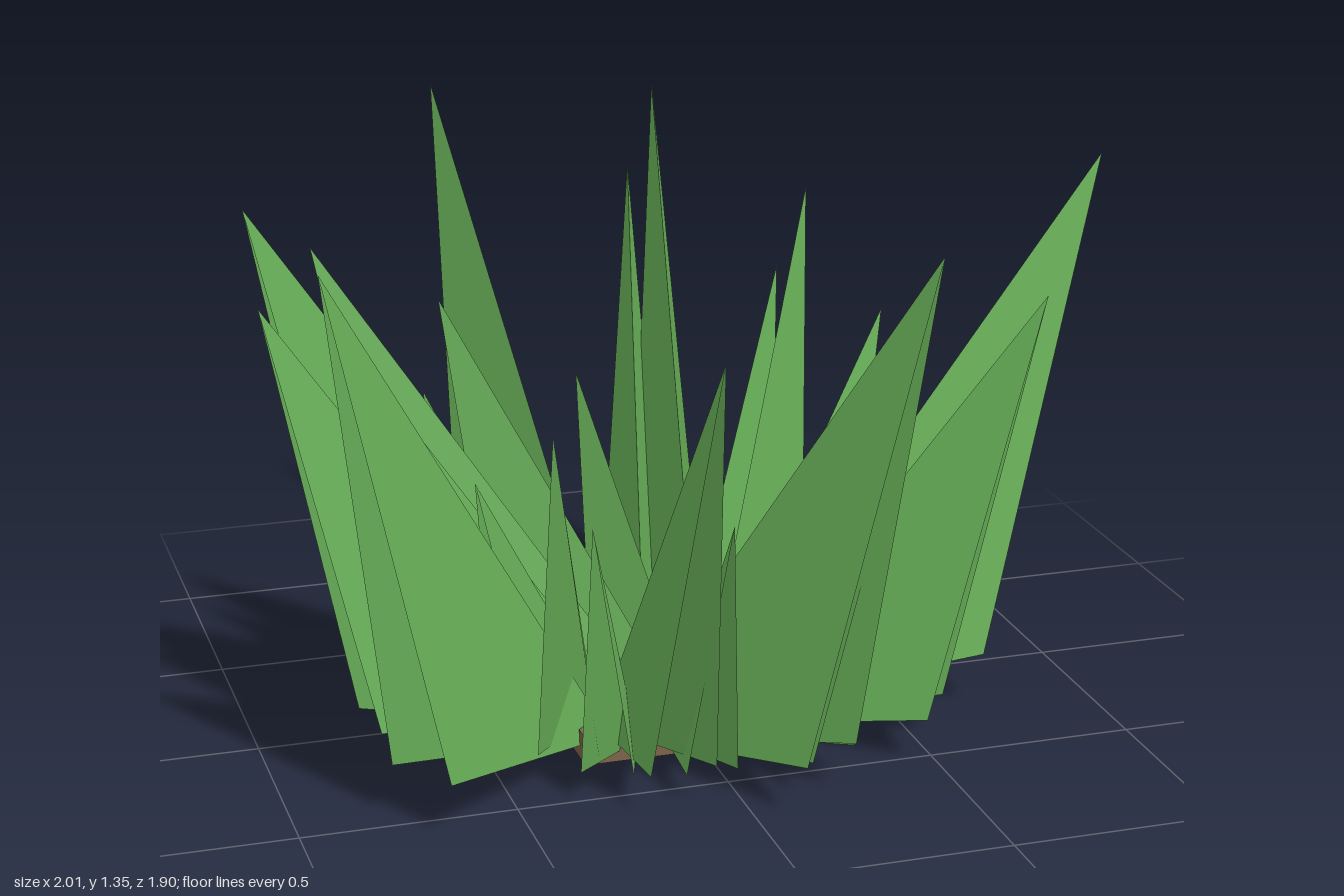
import * as THREE from 'three';

const LEAVES_PER_WHORL = 13;
const HEIGHTS = [0.72, 1.35, 1.14, 0.93]; // repeated around each whorl
const REACH = 0.69; // horizontal length of a leaf per unit of height

// Folded leaf pointing along +x from its root: a straight ridge from root to tip
// with a drooping half on each side
function leafGeometry(h) {
  const length = REACH * h;
  const width = 0.03 + 0.043 * h;
  const root = new THREE.Vector3(0, 0.003, 0);
  const tip = new THREE.Vector3(length, h, 0);
  const left = new THREE.Vector3(length * 0.71, 0.104 * h, -width);
  const right = new THREE.Vector3(length * 0.71, 0.104 * h, width);
  const g = new THREE.BufferGeometry().setFromPoints([root, tip, left, root, right, tip]);
  g.computeVertexNormals();
  return g;
}

export function createModel() {
  const green = new THREE.MeshStandardMaterial({ color: 0x6ab35a, flatShading: true, side: THREE.DoubleSide });
  green.name = 'leaf green';
  const brown = new THREE.MeshStandardMaterial({ color: 0x7b6248, flatShading: true });
  brown.name = 'soil brown';

  const model = new THREE.Group();
  model.name = 'plant';

  // Everything grows around an axis slightly off the middle
  const plant = new THREE.Group();
  plant.name = 'growth';
  plant.position.set(-0.07, 0, 0.097);
  model.add(plant);

  // Square root block
  const base = new THREE.Mesh(new THREE.BoxGeometry(0.44, 0.07, 0.44), brown);
  base.position.y = 0.035;
  base.name = 'rootBlock';
  plant.add(base);

  // Whorl of leaves; each root is moved forward and sideways from the axis
  const geometries = HEIGHTS.map(leafGeometry);
  const addWhorl = (name, startDegrees, forward, sideways) => {
    const whorl = new THREE.Group();
    whorl.name = name;
    for (let i = 0; i < LEAVES_PER_WHORL; i++) {
      const leaf = new THREE.Mesh(geometries[i % HEIGHTS.length], green);
      leaf.name = 'leaf';
      leaf.position.set(forward, 0, sideways);
      const turn = new THREE.Group();
      turn.name = 'leafTurn';
      turn.rotation.y = -THREE.MathUtils.degToRad(startDegrees + (i * 360) / LEAVES_PER_WHORL);
      turn.add(leaf);
      whorl.add(turn);
    }
    plant.add(whorl);
  };
  addWhorl('outerLeaves', 117.5, 0.145, 0);
  addWhorl('innerLeaves', 30.3, 0, 0.13);
  return model;
}
